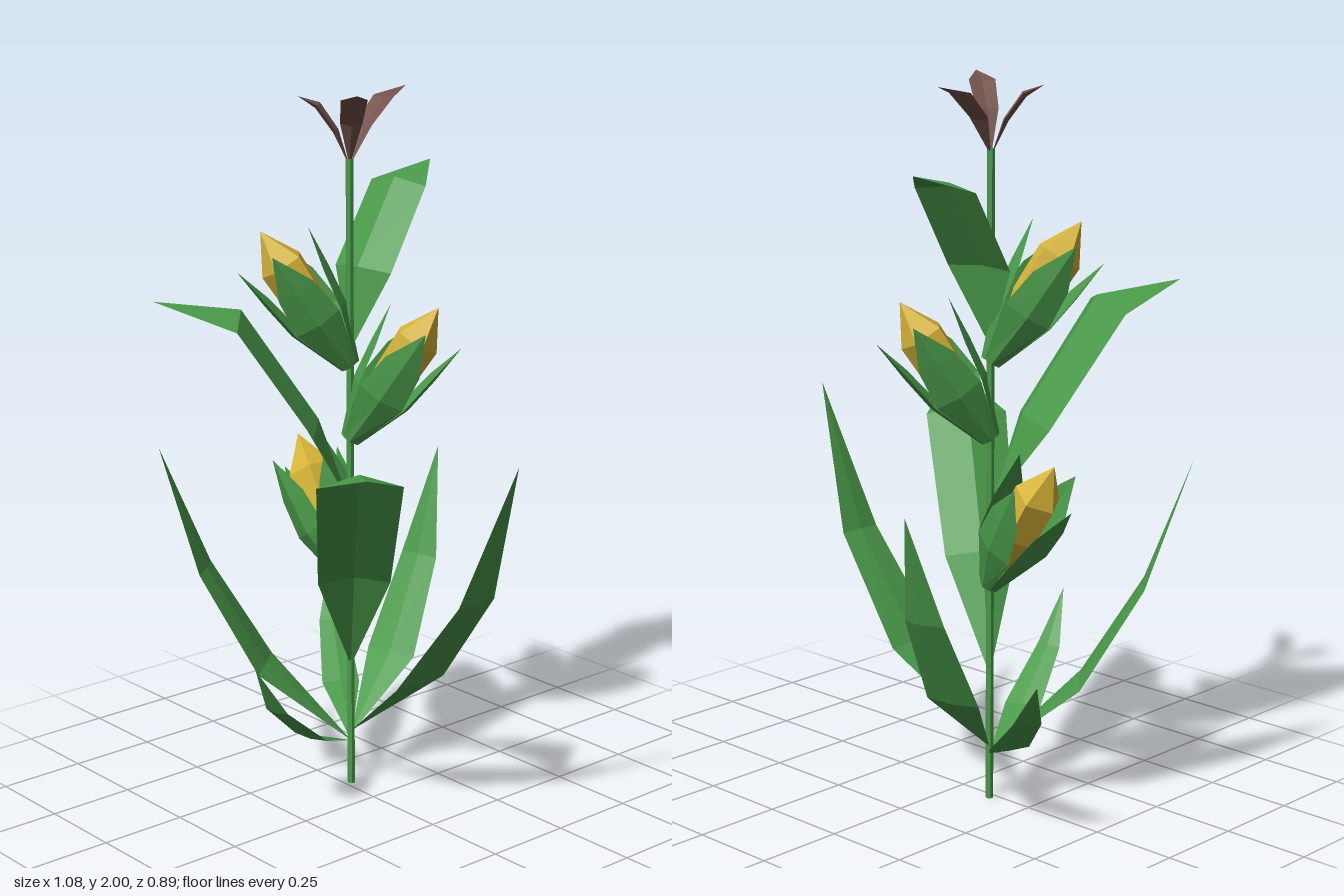
import * as THREE from 'three';

const V = (x, y, z) => new THREE.Vector3(x, y, z);
const UP = V(0, 1, 0);
const STEM = V(-0.12, 0, -0.02);

const mat = (name, color) => {
  const m = new THREE.MeshStandardMaterial({ color, flatShading: true, side: THREE.DoubleSide });
  m.name = name;
  return m;
};

// Thin blade growing outwards at an angle. sections: [radius, height, halfWidth].
// fold lifts the midrib towards the axis, as a share of the half width.
function bladeGeometry(dirX, dirZ, sections, fold = 0, thick = 0.012) {
  const out = V(dirX, 0, dirZ).normalize();
  const side = UP.clone().cross(out);
  const centres = sections.map(([r, y]) => out.clone().multiplyScalar(r).setY(y));
  const pos = [], idx = [];
  sections.forEach(([, , half], i) => {
    const a = centres[Math.max(i - 1, 0)], b = centres[Math.min(i + 1, centres.length - 1)];
    const normal = b.clone().sub(a).normalize().cross(side);
    const t = half > 0 ? thick / 2 : 0, f = fold * half;
    for (const [s, n] of [[half, 0], [0, f + t], [-half, 0], [0, f - t]]) {
      const p = centres[i].clone().addScaledVector(side, s).addScaledVector(normal, n);
      pos.push(p.x, p.y, p.z);
    }
  });
  for (let i = 0; i < sections.length - 1; i++) {
    for (let j = 0; j < 4; j++) {
      const a = i * 4 + j, b = i * 4 + (j + 1) % 4;
      if (sections[i][2] > 0) idx.push(a, b, b + 4);
      if (sections[i + 1][2] > 0) idx.push(a, b + 4, a + 4);
      else if (sections[i][2] === 0) idx.push(a, b + 4, a + 4);
    }
  }
  const g = new THREE.BufferGeometry();
  g.setAttribute('position', new THREE.Float32BufferAttribute(pos, 3));
  g.setIndex(idx);
  const flat = g.toNonIndexed();
  flat.computeVertexNormals();
  return flat;
}

export function createModel() {
  const model = new THREE.Group();
  model.name = 'cornPlant';
  const green = mat('leafGreen', 0x4a9a4a);
  const yellow = mat('cobYellow', 0xd8b638);
  const brown = mat('tasselBrown', 0x73524a);

  const add = (parent, name, geo, material) => {
    const m = new THREE.Mesh(geo, material);
    m.name = name;
    parent.add(m);
    return m;
  };

  // Everything grows from the stem axis
  const plant = new THREE.Group();
  plant.name = 'plant';
  plant.position.copy(STEM);
  model.add(plant);

  // Stem
  add(plant, 'stem', new THREE.CylinderGeometry(0.011, 0.011, 1.81, 6).translate(0, 0.905, 0), green);

  // Lower leaves curve upwards and are flat
  const lower = [
    [0.66, -0.005, [[0, 0.16, 0], [0.29, 0.39, 0.088], [0.51, 0.68, 0.065], [0.66, 1.09, 0]]],
    [-0.42, 0.35, [[0, 0.13, 0], [0.25, 0.35, 0.095], [0.42, 0.63, 0.07], [0.547, 0.98, 0]]],
    [-0.105, -0.43, [[0, 0.15, 0], [0.2, 0.34, 0.08], [0.345, 0.6, 0.06], [0.442, 0.91, 0]]],
    [-0.42, -0.27, [[0, 0.13, 0], [0.22, 0.225, 0.055], [0.4, 0.355, 0.04], [0.5, 0.49, 0]]],
    [0.12, 0.44, [[0, 0.13, 0], [0.2, 0.21, 0.055], [0.36, 0.34, 0.036], [0.456, 0.49, 0]]],
  ];
  for (const [x, z, s] of lower) add(plant, 'lowerLeaf', bladeGeometry(x, z, s), green);

  // Upper leaves bend over at the tip and have a folded midrib
  const upper = [
    [-0.27, 0.465, 0.28, [[0, 0.84, 0], [0.125, 1.07, 0.13], [0.33, 1.375, 0.14], [0.538, 1.44, 0]]],
    [0.51, 0.385, 0.28, [[0, 0.36, 0], [0.157, 0.66, 0.1], [0.41, 1.01, 0.115], [0.64, 1.095, 0]]],
    [-0.05, -0.34, 0.2, [[0, 1.28, 0], [0.055, 1.5, 0.1], [0.205, 1.72, 0.097], [0.343, 1.77, 0]]],
  ];
  for (const [x, z, fold, s] of upper) add(plant, 'upperLeaf', bladeGeometry(x, z, s, fold), green);

  // Ears: a pointed cob in a cup of four husk leaves, leaning away from the stem
  const cobProfile = [[0.02, 0.06], [0.062, 0.2], [0.066, 0.335], [0, 0.445]]
    .map(([r, y]) => new THREE.Vector2(r, y));
  const husk = [[0.02, 0, 0.022], [0.072, 0.16, 0.068], [0.09, 0.27, 0.055], [0.115, 0.385, 0]];
  for (const [y, x, z] of [[1.24, -0.155, 0.19], [1.03, 0.18, -0.19], [0.62, -0.225, -0.01]]) {
    const ear = new THREE.Group();
    ear.name = 'ear';
    ear.position.y = y;
    ear.rotation.set(0.575, Math.atan2(x, z), 0, 'YXZ');
    plant.add(ear);
    add(ear, 'cob', new THREE.LatheGeometry(cobProfile, 5), yellow);
    add(ear, 'earBase', new THREE.CylinderGeometry(0.032, 0.022, 0.04, 4).translate(0, 0.02, 0), green);
    for (let i = 0; i < 4; i++) {
      const a = i * Math.PI / 2;
      add(ear, 'huskLeaf', bladeGeometry(Math.sin(a), Math.cos(a), husk, -0.2, 0.008), green);
    }
  }

  // Tassel: three curled blades on top
  for (const [x, z, top] of [[0.155, 0.105, 2], [-0.1, 0.095, 1.975], [-0.035, -0.235, 1.985]]) {
    const r = Math.hypot(x, z);
    const s = [[0, 1.79, 0], [r * 0.24, top - 0.09, 0.03], [r * 0.6, top - 0.02, 0.036], [r, top, 0]];
    add(plant, 'tasselBlade', bladeGeometry(x, z, s, -0.25, 0.01), brown);
  }
  return model;
}
